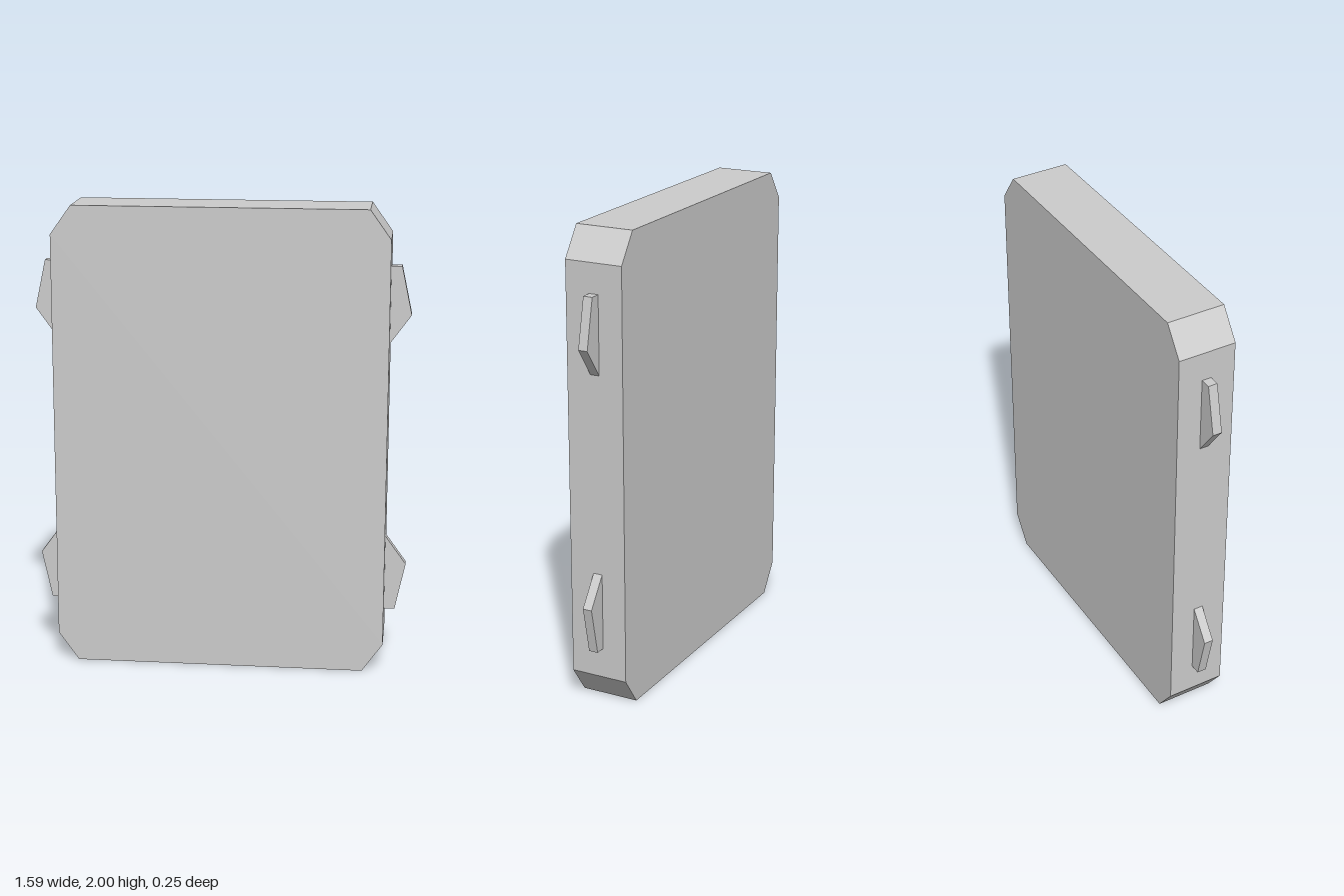
import * as THREE from 'three';

// Extrudes an outline to a slab centred on z = 0
function slab(name, points, depth, material) {
  const shape = new THREE.Shape(points.map(([x, y]) => new THREE.Vector2(x, y)));
  const geometry = new THREE.ExtrudeGeometry(shape, { depth, bevelEnabled: false });
  geometry.translate(0, 0, -depth / 2);
  const mesh = new THREE.Mesh(geometry, material);
  mesh.name = name;
  return mesh;
}

export function createModel() {
  const group = new THREE.Group();
  group.name = 'panel';
  const grey = new THREE.MeshStandardMaterial({ color: 0xcccccc });
  grey.name = 'light grey';

  // Thick panel with clipped corners
  const w = 0.708, wi = 0.62, h = 2, c = 0.123;
  group.add(slab('panelBody', [
    [-wi, 0], [wi, 0], [w, c], [w, h - c],
    [wi, h], [-wi, h], [-w, h - c], [-w, c],
  ], 0.25, grey));

  // Thin side lugs; the lower pair is the upper pair turned over
  const upper = [[0.69, 1.40], [0.797, 1.548], [0.753, 1.753], [0.69, 1.753]];
  const lower = upper.map(([x, y]) => [x, 2.005 - y]);
  for (const [side, sx] of [['left', 1], ['right', -1]]) {
    for (const [level, outline] of [['Upper', upper], ['Lower', lower]]) {
      group.add(slab(`${side}${level}Lug`, outline.map(([x, y]) => [sx * x, y]), 0.04, grey));
    }
  }
  return group;
}
